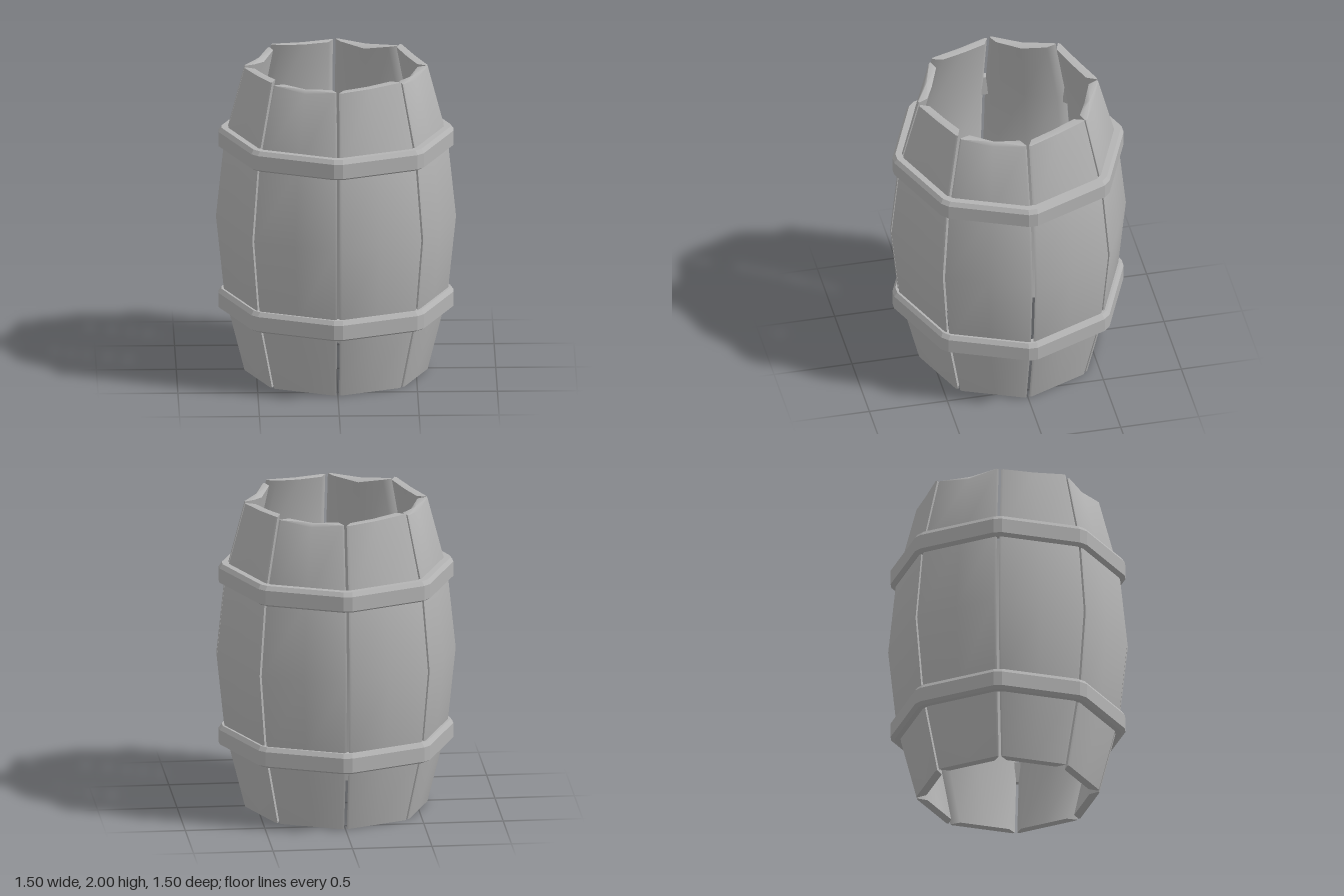
import * as THREE from 'three';
import { toCreasedNormals } from 'three/addons/utils/BufferGeometryUtils.js';

const SIDES = 8;
const HALF = Math.PI / SIDES;

// Skin a stack of equal-length rings; either cap the ends or join last to first.
function loft(rings, closed, crease) {
  const n = rings[0].length, pos = [], index = [];
  rings.forEach((ring) => ring.forEach((p) => pos.push(p.x, p.y, p.z)));
  const spans = closed ? rings.length : rings.length - 1;
  for (let j = 0; j < spans; j++) {
    const lo = j * n, hi = ((j + 1) % rings.length) * n;
    for (let i = 0; i < n; i++) {
      const k = (i + 1) % n;
      index.push(lo + i, lo + k, hi + k, lo + i, hi + k, hi + i);
    }
  }
  if (!closed) {
    [0, rings.length - 1].forEach((j) => {
      const c = new THREE.Vector3();
      rings[j].forEach((p) => c.addScaledVector(p, 1 / n));
      const ci = pos.length / 3;
      pos.push(c.x, c.y, c.z);
      for (let i = 0; i < n; i++) {
        const a = j * n + i, b = j * n + ((i + 1) % n);
        if (j === 0) index.push(ci, b, a);
        else index.push(ci, a, b);
      }
    });
  }
  const geo = new THREE.BufferGeometry();
  geo.setAttribute('position', new THREE.Float32BufferAttribute(pos, 3));
  geo.setIndex(index);
  return toCreasedNormals(geo, crease);
}

// Point at distance r outwards and t sideways on the face turned by angle.
function onFace(angle, t, r, y) {
  const s = Math.sin(angle), c = Math.cos(angle);
  return new THREE.Vector3(r * s + t * c, y, r * c - t * s);
}

// Bulging plank with bevelled edges; topEdge gives left, middle and right heights.
function staveGeometry(angle, topEdge) {
  const levels = [[0, 0.582], [0.5, 0.708], [1, 0.76], [1.5, 0.708], [2, 0.582]];
  const rings = levels.map(([y, radius], j) => {
    const a = radius * Math.cos(HALF);
    const h = radius * Math.sin(HALF) - 0.012;
    const section = [
      [-h, a - 0.008], [-h + 0.012, a], [0, a], [h - 0.012, a], [h, a - 0.008],
      [h - 0.008, a - 0.016], [h - 0.05, a - 0.053], [0, a - 0.053],
      [-h + 0.05, a - 0.053], [-h + 0.008, a - 0.016],
    ];
    return section.map(([t, r]) => {
      const top = topEdge[Math.abs(t) < 0.01 ? 1 : t < 0 ? 0 : 2];
      return onFace(angle, t, r, j === levels.length - 1 ? top : y);
    });
  });
  return loft(rings, false, 0.9);
}

// Octagonal band with trimmed corners and bevelled rims.
function hoopGeometry(y0) {
  const profile = [
    [0.665, 0], [0.69, 0.015], [0.69, 0.108], [0.672, 0.135], [0.632, 0.135], [0.632, 0],
  ];
  const rings = profile.map(([a, y]) => {
    const h = a * Math.tan(HALF) - 0.03;
    const ring = [];
    for (let k = 0; k < SIDES; k++) {
      const angle = (2 * k + 1) * HALF;
      ring.push(onFace(angle, -h, a, y0 + y), onFace(angle, h, a, y0 + y));
    }
    return ring;
  });
  return loft(rings, true, 0.3);
}

export function createModel() {
  const model = new THREE.Group();
  model.name = 'barrel';
  const grey = new THREE.MeshStandardMaterial({ color: 0xb3b3b3 });
  grey.name = 'grey';

  const add = (geometry, name) => {
    const mesh = new THREE.Mesh(geometry, grey);
    mesh.name = name;
    model.add(mesh);
  };

  // Staves: two kinds of worn top edge, alternating around the barrel
  const topEdges = [[1.98, 1.985, 2.0], [1.985, 1.955, 1.985]];
  for (let k = 0; k < SIDES; k++) {
    add(staveGeometry((2 * k + 1) * HALF, topEdges[k % 2]), 'stave' + (k + 1));
  }

  // Hoops
  add(hoopGeometry(0.4), 'lowerHoop');
  add(hoopGeometry(1.455), 'upperHoop');
  return model;
}
